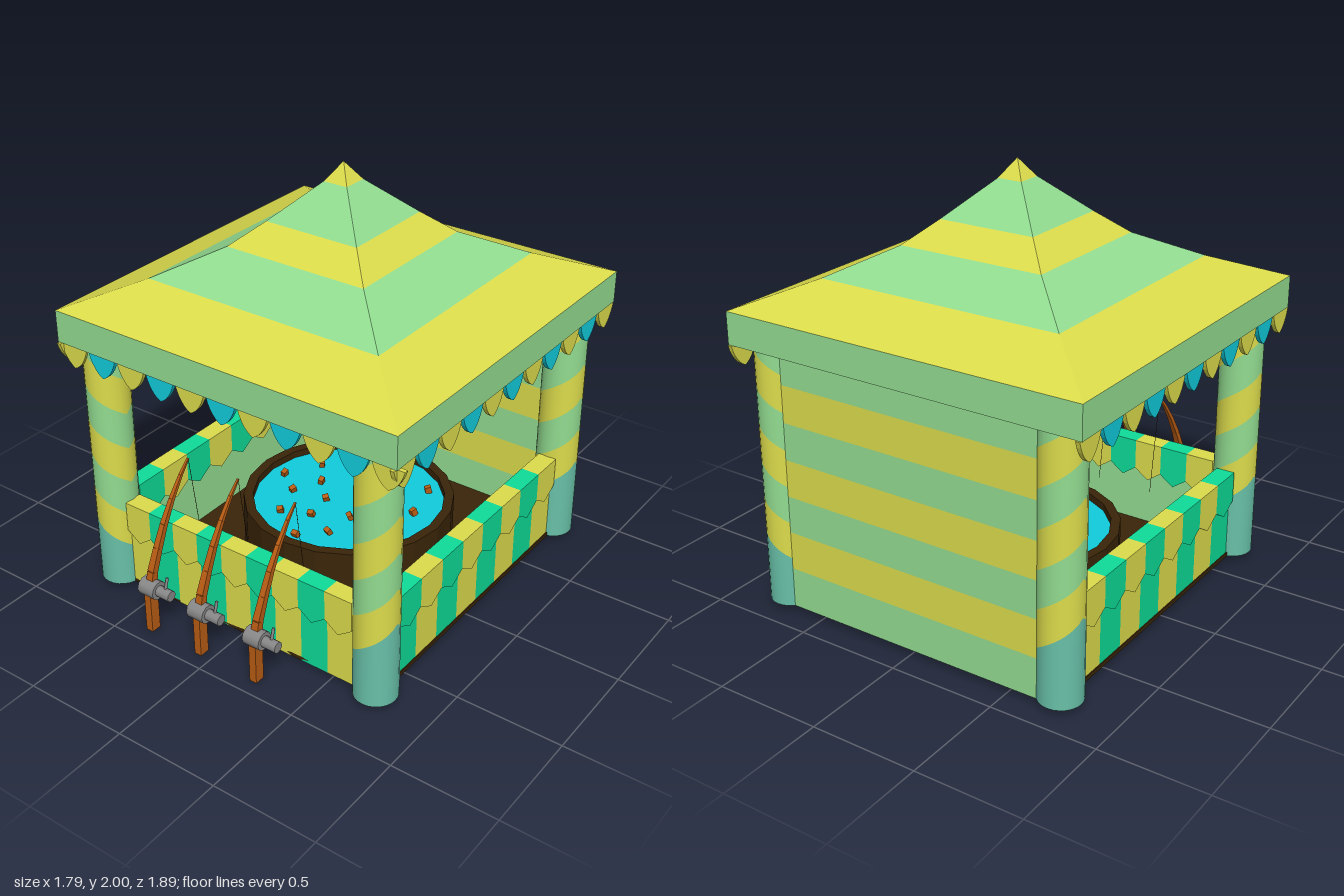
import * as THREE from 'three';

const mat = (name, color) => {
  const m = new THREE.MeshStandardMaterial({ color });
  m.name = name;
  return m;
};

export function createModel() {
  const yellow = mat('yellow', 0xdcdc4c), green = mat('light green', 0x92dc90);
  const emerald = mat('emerald', 0x0edc98), teal = mat('teal', 0x68c0a8);
  const blue = mat('blue', 0x10ccdc), wood = mat('wood', 0xb85c14);
  const steel = mat('steel', 0x888888), dark = mat('dark brown', 0x3a2508);
  const model = new THREE.Group();
  model.name = 'fishingStall';

  const add = (parent, name, geo, material, x = 0, y = 0, z = 0) => {
    const m = new THREE.Mesh(geo, material);
    m.name = name;
    m.position.set(x, y, z);
    parent.add(m);
    return m;
  };
  const group = (name, x = 0, y = 0, z = 0, turn = 0) => {
    const g = new THREE.Group();
    g.name = name;
    g.position.set(x, y, z);
    g.rotation.y = turn;
    model.add(g);
    return g;
  };
  const box = (w, h, d) => new THREE.BoxGeometry(w, h, d);
  // Tapered bar between two points
  const bar = (parent, name, a, b, ra, rb, sides, material) => {
    const p = new THREE.Vector3(...a), dir = new THREE.Vector3(...b).sub(p);
    let geo = new THREE.CylinderGeometry(rb, ra, dir.length(), sides);
    if (sides === 4) {
      geo.rotateY(Math.PI / 4);
      geo = geo.toNonIndexed();
      geo.computeVertexNormals();
    }
    const m = add(parent, name, geo, material);
    m.position.copy(p).addScaledVector(dir, 0.5);
    m.quaternion.setFromUnitVectors(new THREE.Vector3(0, 1, 0), dir.normalize());
    return m;
  };

  // Roof: concave stack of square frusta above a fascia
  const roof = group('roof', 0, 0, -0.0625);
  const levels = [[1.4, 0.88], [1.52, 0.595], [1.645, 0.355], [1.75, 0.235], [1.915, 0.06], [2, 0]];
  for (let i = 0; i < 5; i++) {
    const [y0, r0] = levels[i], [y1, r1] = levels[i + 1];
    const geo = new THREE.CylinderGeometry(r1 * Math.SQRT2, r0 * Math.SQRT2, y1 - y0, 4, 1, true)
      .rotateY(Math.PI / 4).toNonIndexed();
    geo.computeVertexNormals();
    add(roof, 'roofBand', geo, i % 2 ? green : yellow, 0, (y0 + y1) / 2, 0);
  }
  add(roof, 'fascia', box(1.76, 0.15, 1.76), [green, green, green, emerald, green, green], 0, 1.325, 0);

  // Scalloped trim on the front and both sides
  const scallop = new THREE.Shape();
  scallop.moveTo(-0.076, 0);
  scallop.bezierCurveTo(-0.06, -0.06, -0.03, -0.095, 0, -0.108);
  scallop.bezierCurveTo(0.03, -0.095, 0.06, -0.06, 0.076, 0);
  const scallopGeo = new THREE.ExtrudeGeometry(scallop, { depth: 0.02, bevelEnabled: false, curveSegments: 6 });
  const trims = [
    ['frontTrim', 0, 0.79, 0, i => -0.795 + 0.163 * i],
    ['leftTrim', 0.855, 0, Math.PI / 2, i => -0.755 + 0.163 * i],
    ['rightTrim', -0.855, 0, -Math.PI / 2, i => 0.755 - 0.163 * i],
  ];
  for (const [name, x, z, turn, at] of trims) {
    const g = group(name, x, 1.25, z, turn);
    for (let i = 0; i < 11; i++) add(g, 'scallop', scallopGeo, i % 2 ? blue : yellow, at(i), 0, 0);
  }

  // Corner columns with stripes rising towards the outer side
  const bands = [[-1, 0.43, teal]];
  for (let k = 0; k < 5; k++) bands.push([0.43 + 0.175 * k, 0.605 + 0.175 * k, k % 2 ? green : yellow]);
  bands.push([1.305, 2, green]);
  for (const side of [-1, 1]) {
    for (const z of [0.7, -0.817]) {
      const g = group('column', side * 0.72, 0, z);
      for (const [lo, hi, material] of bands) {
        const geo = new THREE.CylinderGeometry(0.1, 0.1, 1, 24, 1, true);
        const p = geo.attributes.position;
        for (let i = 0; i < p.count; i++) {
          const angle = Math.acos(THREE.MathUtils.clamp(side * p.getX(i) / 0.1, -1, 1));
          const y = (p.getY(i) > 0 ? hi : lo) - 0.21 * angle / Math.PI;
          p.setY(i, THREE.MathUtils.clamp(y, 0.03, 1.25));
        }
        add(g, 'columnBand', geo, material);
      }
      add(g, 'columnFoot', new THREE.CircleGeometry(0.1, 24).rotateX(Math.PI / 2), teal, 0, 0.03, 0);
    }
  }

  // Striped back wall
  const wall = group('backWall', 0, 0, -0.86);
  const cuts = [0.03, 0.22, 0.4, 0.575, 0.75, 0.925, 1.1, 1.25];
  for (let i = 0; i < 7; i++) {
    const h = cuts[i + 1] - cuts[i];
    add(wall, 'wallStripe', box(1.44, h, 0.05), i % 2 ? yellow : green, 0, cuts[i] + h / 2, 0);
  }

  // Low counters: striped panels, pointed drapes over the top, plain lining inside
  const counter = (name, x, z, turn, length, count, first) => {
    const g = group(name, x, 0, z, turn);
    const w = length / count;
    const drape = new THREE.Shape([[-w / 2, 0.475], [-w / 2, 0.33], [0, 0.28], [w / 2, 0.33], [w / 2, 0.475]]
      .map(c => new THREE.Vector2(...c)));
    const drapeGeo = new THREE.ExtrudeGeometry(drape, { depth: 0.09, bevelEnabled: false });
    for (let i = 0; i < count; i++) {
      const material = (i + first) % 2 ? emerald : yellow, px = -length / 2 + w * (i + 0.5);
      add(g, 'panelStripe', box(w, 0.44, 0.05), material, px, 0.25, 0);
      add(g, 'drape', drapeGeo, material, px, 0, -0.045);
    }
    add(g, 'lining', box(length, 0.44, 0.008), green, 0, 0.25, -0.028);
  };
  counter('frontCounter', 0, 0.7, 0, 1.25, 9, 0);
  counter('leftCounter', 0.72, -0.06, Math.PI / 2, 1.32, 8, 1);
  counter('rightCounter', -0.72, -0.06, -Math.PI / 2, 1.32, 8, 0);

  // Floor and round pool
  add(model, 'floor', box(1.5, 0.02, 1.58), dark, 0, 0.04, -0.065);
  const pool = group('pool', 0, 0, -0.11);
  const rim = [[0.5, 0.05], [0.5, 0.315], [0.455, 0.315], [0.455, 0.25]].map(c => new THREE.Vector2(...c));
  const rimGeo = new THREE.LatheGeometry(rim, 20).toNonIndexed();
  rimGeo.computeVertexNormals();
  add(pool, 'poolRim', rimGeo, dark);
  add(pool, 'water', new THREE.CircleGeometry(0.46, 20).rotateX(-Math.PI / 2), blue, 0, 0.28, 0);
  for (let i = 0; i < 20; i++) {
    const a = i * 2.4, r = 0.4 * Math.sqrt((i + 0.5) / 20);
    const fish = add(pool, 'fish', box(0.024, 0.035, 0.03), wood, r * Math.cos(a), 0.295, r * Math.sin(a));
    fish.rotation.set(0.3, a, 0.2);
  }

  // Fishing rods with reels and lines
  for (const x of [-0.35, -0.067, 0.242]) {
    const g = group('fishingRod', x, 0, 0);
    add(g, 'handle', box(0.036, 0.22, 0.05), wood, 0, 0.11, 0.905);
    const path = [[0.2, 0.905, 0.026], [0.3, 0.885, 0.024], [0.4, 0.842, 0.021],
      [0.5, 0.795, 0.018], [0.6, 0.735, 0.014], [0.69, 0.67, 0.01], [0.75, 0.615, 0.006]];
    for (let i = 0; i < path.length - 1; i++) {
      const [y0, z0, r0] = path[i], [y1, z1, r1] = path[i + 1];
      bar(g, 'rodSection', [0, y0, z0], [0, y1, z1], r0, r1, 4, wood);
    }
    bar(g, 'reel', [-0.042, 0.222, 0.9], [0.045, 0.222, 0.9], 0.044, 0.044, 10, steel);
    bar(g, 'spool', [0.04, 0.222, 0.9], [0.118, 0.222, 0.9], 0.026, 0.026, 10, steel);
    bar(g, 'crank', [0.08, 0.23, 0.9], [0.08, 0.295, 0.88], 0.007, 0.007, 6, steel);
    bar(g, 'line', [0, 0.75, 0.615], [0, 0.28, 0.55], 0.0015, 0.0015, 3, dark);
  }
  return model;
}
